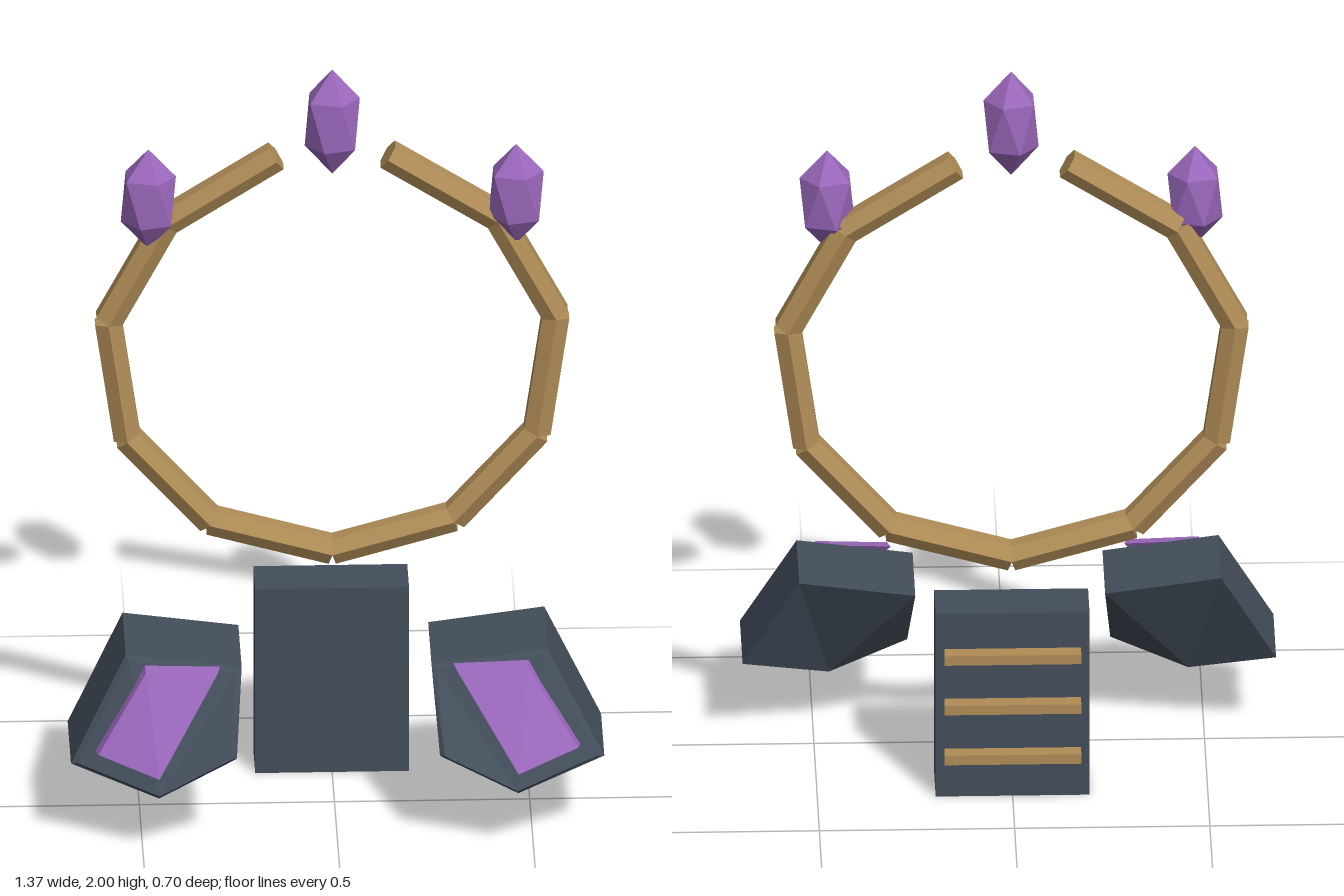
import * as THREE from 'three';

const mat = (name, color) => {
  const m = new THREE.MeshStandardMaterial({ color, flatShading: true });
  m.name = name;
  return m;
};

// Faceted solid lofted through rings of points (back to front, counter-clockwise from the front)
function loft(rings, side) {
  const pos = [];
  const tri = (a, b, c) => {
    for (const p of side > 0 ? [a, b, c] : [a, c, b]) pos.push(p[0] * side, p[1], p[2]);
  };
  const n = rings[0].length, back = rings[0], front = rings[rings.length - 1];
  for (let r = 0; r + 1 < rings.length; r++) {
    for (let i = 0; i < n; i++) {
      const j = (i + 1) % n, p = rings[r], q = rings[r + 1];
      tri(p[i], p[j], q[j]);
      tri(p[i], q[j], q[i]);
    }
  }
  for (let i = 1; i + 1 < n; i++) {
    tri(front[0], front[i], front[i + 1]);
    tri(back[0], back[i + 1], back[i]);
  }
  const g = new THREE.BufferGeometry();
  g.setAttribute('position', new THREE.Float32BufferAttribute(pos, 3));
  g.computeVertexNormals();
  return g;
}

// Shrink a ring in x and y around its middle and shift it in z
function inset(ring, k, dz) {
  const cx = ring.reduce((s, p) => s + p[0], 0) / ring.length;
  const cy = ring.reduce((s, p) => s + p[1], 0) / ring.length;
  return ring.map(([x, y, z]) => [cx + (x - cx) * k, cy + (y - cy) * k, z + dz]);
}

// Tall crystal: two twisted five-point rings between an upper and a lower tip
function crystalGeometry(rx, ry, rz) {
  const pts = [[0, 1, 0]];
  for (const s of [1, -1]) {
    for (let i = 0; i < 5; i++) {
      const a = (i * 2 * Math.PI) / 5 + (s > 0 ? 0 : Math.PI);
      pts.push([0.894 * Math.cos(a), 0.447 * s, 0.894 * Math.sin(a)]);
    }
  }
  pts.push([0, -1, 0]);
  const faces = [];
  for (let i = 0; i < 5; i++) {
    const j = (i + 1) % 5;
    const u = 1 + i, v = 1 + j, low = 6 + ((i + 3) % 5), next = 6 + ((i + 4) % 5);
    faces.push(0, v, u, u, v, low, v, next, low, low, next, 11);
  }
  const g = new THREE.BufferGeometry();
  const pos = faces.flatMap((k) => [pts[k][0] * rx, pts[k][1] * ry, pts[k][2] * rz]);
  g.setAttribute('position', new THREE.Float32BufferAttribute(pos, 3));
  g.computeVertexNormals();
  return g;
}

export function createModel() {
  const model = new THREE.Group();
  const slate = mat('slate', 0x434e5b);
  const gold = mat('gold', 0xb08d57);
  const purple = mat('purple', 0x9b68bd);

  const add = (name, geo, material, x = 0, y = 0, z = 0) => {
    const m = new THREE.Mesh(geo, material);
    m.name = name;
    m.position.set(x, y, z);
    model.add(m);
    return m;
  };

  // Back block with three rungs
  add('backBlock', new THREE.BoxGeometry(0.394, 0.522, 0.137), slate, 0, 0.261, -0.244);
  for (const y of [0.123, 0.266, 0.408]) {
    add('backRung', new THREE.BoxGeometry(0.35, 0.027, 0.044), gold, 0, y, -0.332);
  }

  // Open ring made of straight six-sided bars
  const path = [[0, 0.627], [0.312, 0.715], [0.525, 0.955], [0.573, 1.286], [0.425, 1.565], [0.143, 1.746]];
  for (const s of [1, -1]) {
    for (let i = 0; i + 1 < path.length; i++) {
      const [x0, y0] = path[i], [x1, y1] = path[i + 1];
      const dx = (x1 - x0) * s, dy = y1 - y0;
      const bar = add('ringBar', new THREE.CylinderGeometry(0.04, 0.04, Math.hypot(dx, dy), 6), gold,
        (s * (x0 + x1)) / 2, (y0 + y1) / 2, -0.191);
      bar.rotation.z = Math.atan2(-dx, dy);
    }
  }

  // Crystals
  const crystal = crystalGeometry(0.079, 0.148, 0.066);
  add('topCrystal', crystal, purple, 0, 1.852, -0.168);
  for (const s of [1, -1]) {
    add('sideCrystal', crystal, purple, s * 0.471, 1.64, -0.168).scale.y = 0.95;
  }

  // Slanted fists with bevelled fronts and purple plates
  const fist = [[0.46, 0.17, 0.33], [0.683, 0.235, 0.25], [0.54, 0.503, 0.17], [0.243, 0.463, 0.17], [0.26, 0.27, 0.31]];
  const plate = [[0.46, 0.236, 0.345], [0.614, 0.278, 0.28], [0.49, 0.474, 0.21], [0.307, 0.468, 0.21]];
  for (const s of [1, -1]) {
    const side = s > 0 ? 'left' : 'right';
    add(side + 'Fist', loft([inset(fist, 1, -0.26), inset(fist, 1, -0.012), inset(fist, 0.93, 0)], s), slate);
    add(side + 'FistPlate', loft([inset(plate, 1.05, -0.035), plate], s), purple);
  }
  return model;
}
